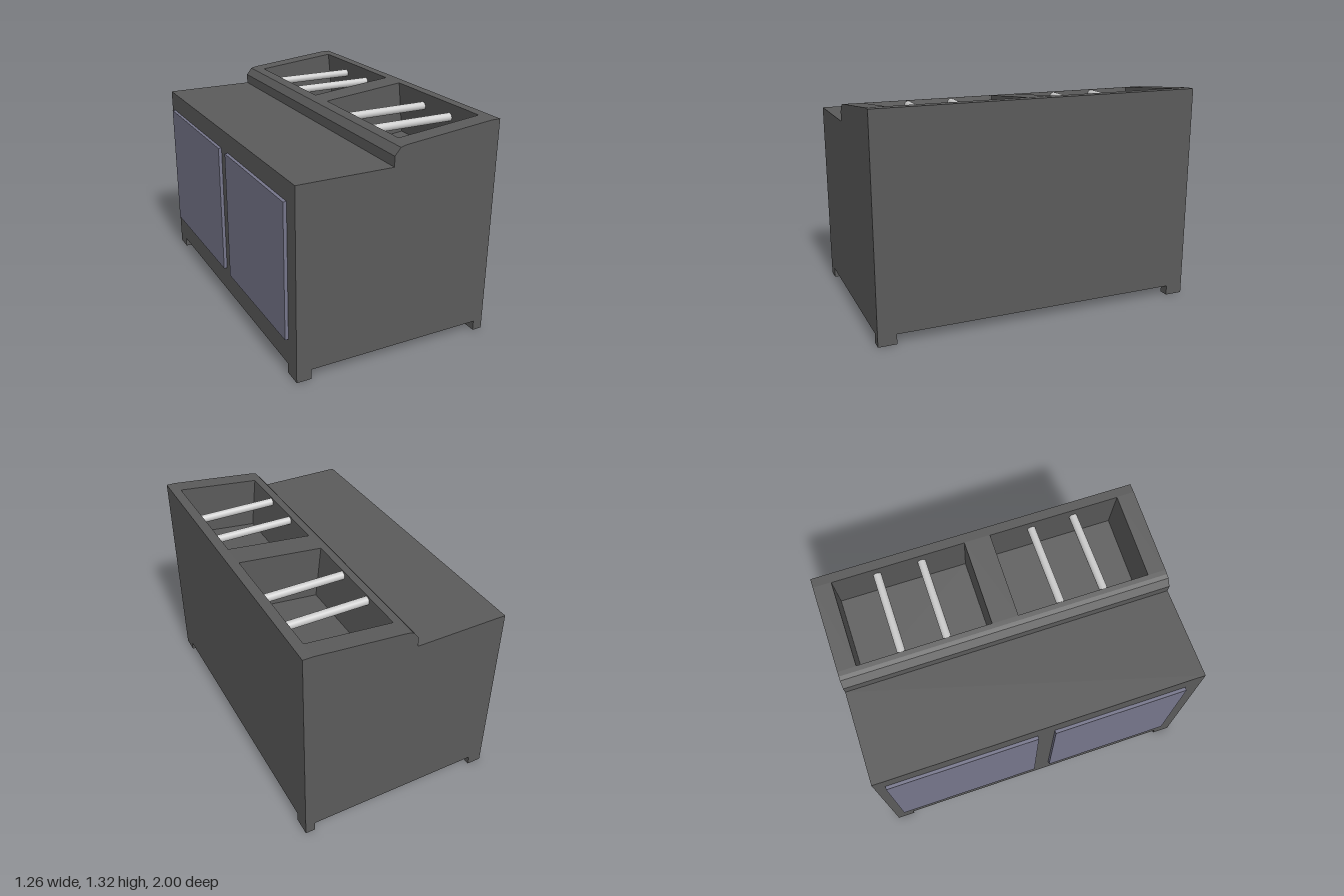
import * as THREE from 'three';

const material = (color) => new THREE.MeshStandardMaterial({ color });

// Reverse triangle winding so the surface faces the other way
function flip(geometry) {
  const index = Array.from(geometry.index.array);
  for (let i = 0; i < index.length; i += 3) [index[i], index[i + 1]] = [index[i + 1], index[i]];
  geometry.setIndex(index);
  const n = geometry.attributes.normal;
  for (let i = 0; i < n.count; i++) n.setXYZ(i, -n.getX(i), -n.getY(i), -n.getZ(i));
  return geometry;
}

function rectangle(x0, y0, x1, y1, Type = THREE.Shape) {
  return new Type([[x0, y0], [x1, y0], [x1, y1], [x0, y1]].map((p) => new THREE.Vector2(...p)));
}

export function createModel() {
  const model = new THREE.Group();
  model.name = 'serviceCounter';
  const dark = material(0x5a5a5a);
  const light = material(0xcccccc);
  const doorMaterial = material(0x75758a);

  function add(parent, name, geometry, mat, x = 0, y = 0, z = 0) {
    const mesh = new THREE.Mesh(geometry, mat);
    mesh.name = name;
    mesh.position.set(x, y, z);
    parent.add(mesh);
    return mesh;
  }

  // Cabinet cross-section, counter-clockwise
  const profile = [
    [-0.61, 0.06], [0.63, 0.06], [0.63, 1.32], [0.573, 1.32], [0.047, 1.264],
    [0.02, 1.26], [-0.005, 1.253], [-0.04, 1.21], [-0.04, 1.15], [-0.61, 1.15],
  ].map((p) => new THREE.Vector2(...p));
  const slopeEdge = 3;
  const wellCentres = [-0.485, 0.485];
  const wellLength = 0.81;
  const wellDepth = 0.33;

  const cabinet = new THREE.Group();
  cabinet.name = 'cabinet';
  model.add(cabinet);

  // End panels
  const endShape = new THREE.Shape(profile);
  add(cabinet, 'frontPanel', new THREE.ShapeGeometry(endShape), dark, 0, 0, 1);
  add(cabinet, 'backPanel', flip(new THREE.ShapeGeometry(endShape)), dark, 0, 0, -1);

  // One long panel per profile edge; the sloped deck has two openings
  profile.forEach((a, i) => {
    const b = profile[(i + 1) % profile.length];
    const length = a.distanceTo(b);
    const u = new THREE.Vector3(b.x - a.x, b.y - a.y, 0).normalize();
    const v = new THREE.Vector3(0, 0, 1);
    const frame = new THREE.Matrix4().makeBasis(u, v, u.clone().cross(v));
    frame.setPosition(a.x, a.y, 0);

    const panel = rectangle(0, -1, length, 1);
    if (i === slopeEdge) {
      const inset = 0.003;
      for (const z of wellCentres) {
        panel.holes.push(rectangle(inset, z - wellLength / 2, length - inset, z + wellLength / 2, THREE.Path));

        // Open-topped well, square to the sloped deck
        const well = new THREE.BoxGeometry(length - 2 * inset, wellLength, wellDepth);
        const index = Array.from(well.index.array);
        index.splice(24, 6);
        well.setIndex(index);
        flip(well).translate(length / 2, z, -wellDepth / 2).applyMatrix4(frame);
        well.clearGroups();
        add(cabinet, 'well', well, dark);
      }
    }
    const geometry = new THREE.ShapeGeometry(panel).applyMatrix4(frame);
    add(cabinet, i === slopeEdge ? 'slopedDeck' : 'cabinetPanel', geometry, dark);
  });

  // Crossbars over the wells
  for (const z of [-0.625, -0.35, 0.345, 0.615]) {
    const bar = new THREE.CylinderGeometry(0.025, 0.025, 0.527, 16).rotateZ(Math.PI / 2);
    add(model, 'crossbar', bar, light, 0.3155, 1.235, z);
  }

  // Corner feet
  for (const z of [-0.945, 0.945]) {
    for (const [x, width] of [[-0.565, 0.09], [0.6, 0.06]]) {
      add(model, 'foot', new THREE.BoxGeometry(width, 0.06, 0.11), dark, x, 0.03, z);
    }
  }

  // Side doors
  for (const [z0, z1] of [[-0.94, -0.025], [0.08, 0.9]]) {
    add(model, 'door', new THREE.BoxGeometry(0.03, 0.81, z1 - z0), doorMaterial, -0.615, 0.625, (z0 + z1) / 2);
  }

  return model;
}
